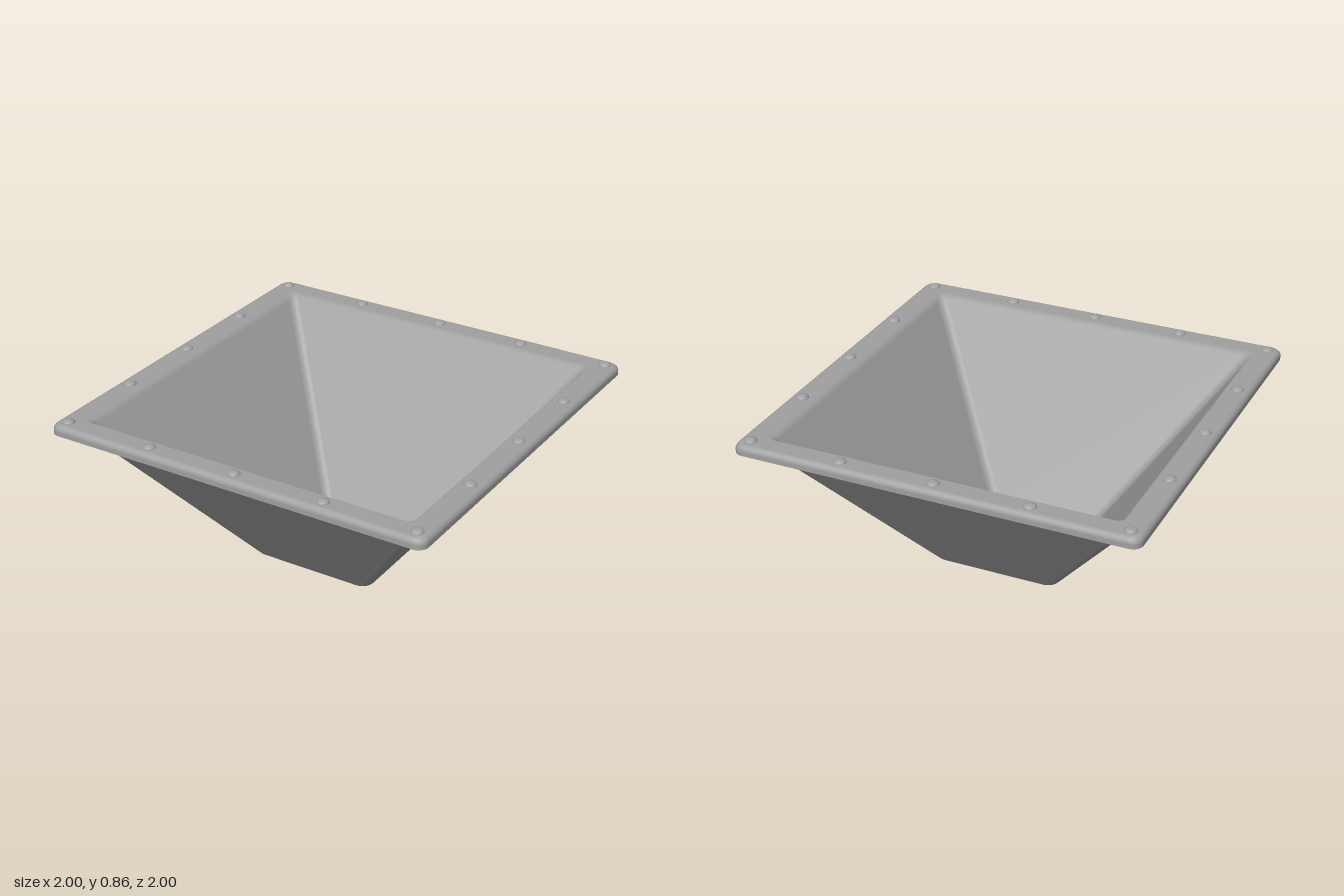
import * as THREE from 'three';

const CORNER_STEPS = 8;

// Lofts rounded-square rings. Each band is a smooth strip of rings:
// [half width, height, corner radius, normal angle in degrees (0 = outward, 90 = up)]
function roundedSquareLoft(bands) {
  const position = [], normal = [], index = [];
  const perRing = 4 * (CORNER_STEPS + 1);
  for (const band of bands) {
    const start = position.length / 3;
    for (const [half, y, r, degrees] of band) {
      const tilt = THREE.MathUtils.degToRad(degrees);
      for (let q = 0; q < 4; q++) {
        const mid = (q + 0.5) * Math.PI / 2;
        const cx = Math.sign(Math.cos(mid)) * (half - r);
        const cz = Math.sign(Math.sin(mid)) * (half - r);
        for (let s = 0; s <= CORNER_STEPS; s++) {
          const a = (q + s / CORNER_STEPS) * Math.PI / 2;
          position.push(cx + r * Math.cos(a), y, cz + r * Math.sin(a));
          normal.push(Math.cos(tilt) * Math.cos(a), Math.sin(tilt), Math.cos(tilt) * Math.sin(a));
        }
      }
    }
    for (let i = 0; i < band.length - 1; i++) {
      for (let j = 0; j < perRing; j++) {
        const a = start + i * perRing + j;
        const b = start + i * perRing + (j + 1) % perRing;
        index.push(a, a + perRing, b, b, a + perRing, b + perRing);
      }
    }
  }
  const geometry = new THREE.BufferGeometry();
  geometry.setAttribute('position', new THREE.Float32BufferAttribute(position, 3));
  geometry.setAttribute('normal', new THREE.Float32BufferAttribute(normal, 3));
  geometry.setIndex(index);
  return geometry;
}

export function createModel() {
  const group = new THREE.Group();
  group.name = 'hopper';
  const metal = new THREE.MeshStandardMaterial({ color: 0xa0a0a0 });
  metal.name = 'grey metal';

  const add = (name, geometry) => {
    const mesh = new THREE.Mesh(geometry, metal);
    mesh.name = name;
    group.add(mesh);
    return mesh;
  };

  // Sloped funnel: outer wall, inner wall and the lip around the outlet
  add('funnel', roundedSquareLoft([
    [[0.325, 0.008, 0.06, -36.5], [0.905, 0.79, 0.045, -36.5]],
    [[0.86, 0.805, 0.04, 144.4], [0.28, 0.004, 0.04, 144.4]],
    [[0.28, 0.004, 0.04, -90], [0.285, 0, 0.04, -90], [0.312, 0, 0.055, -90], [0.325, 0.008, 0.06, -50]],
  ]));

  // Flange: flat underside, rounded outer edge, flat top and a soft inner edge
  const roll = [];
  for (let i = 0; i <= 6; i++) {
    const a = i * 15, t = THREE.MathUtils.degToRad(a);
    roll.push([0.97 + 0.03 * Math.cos(t), 0.81 + 0.03 * Math.sin(t), 0.05, a]);
  }
  add('flange', roundedSquareLoft([
    [[0.905, 0.79, 0.045, -90], [1, 0.79, 0.05, -90]],
    [[1, 0.79, 0.05, 0], ...roll, [0.888, 0.84, 0.04, 90],
      [0.878, 0.834, 0.04, 108], [0.868, 0.822, 0.04, 126], [0.86, 0.805, 0.04, 144.4]],
  ]));

  // Rivets evenly spaced around the flange
  const dome = new THREE.SphereGeometry(0.031, 20, 8, 0, Math.PI * 2, 0, Math.PI / 2);
  dome.scale(1, 0.55, 1);
  const pitch = 0.4675;
  for (let i = -2; i <= 2; i++) {
    for (let k = -2; k <= 2; k++) {
      if (Math.max(Math.abs(i), Math.abs(k)) < 2) continue;
      add('rivet', dome).position.set(i * pitch, 0.839, k * pitch);
    }
  }
  return group;
}
